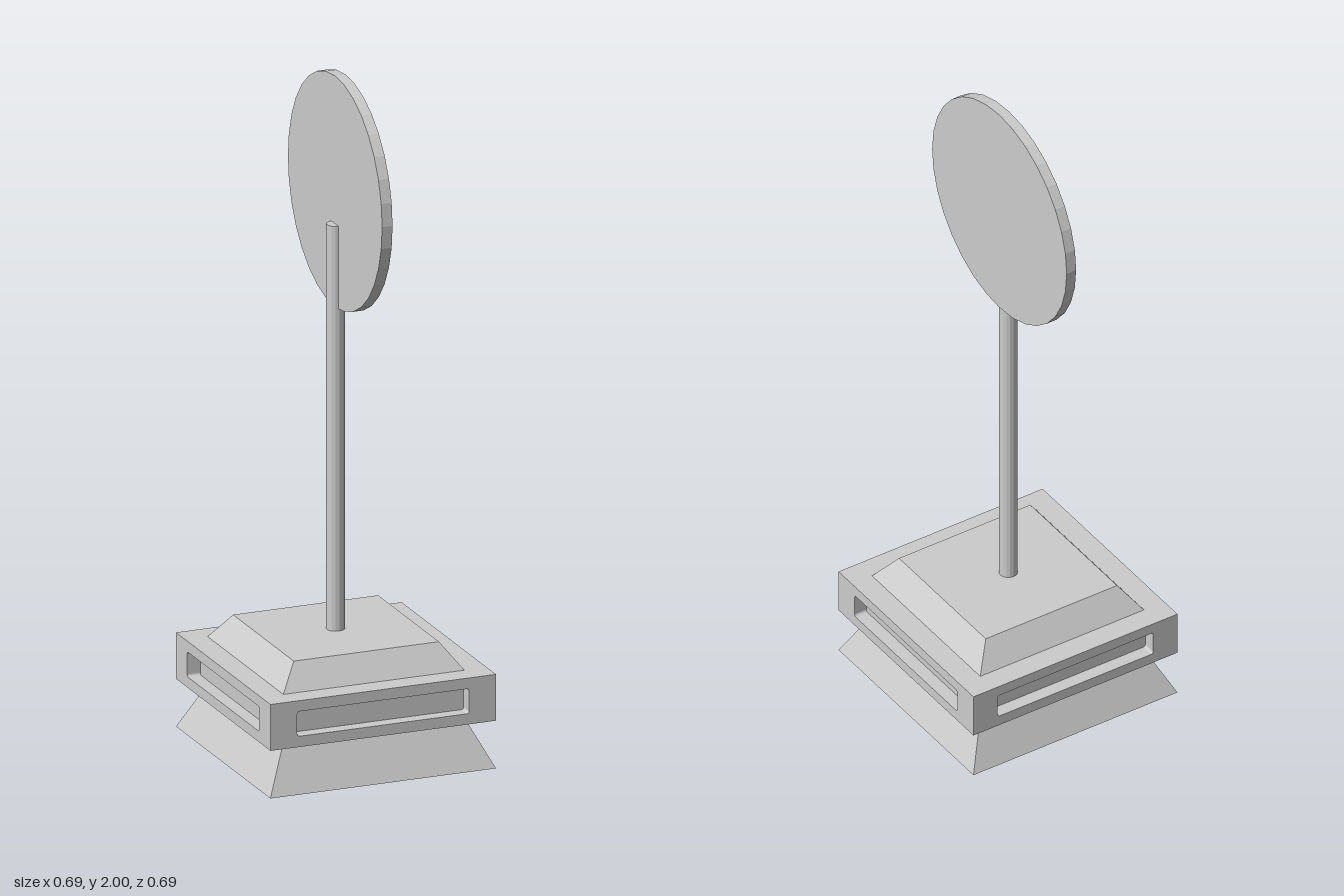
import * as THREE from 'three';

const material = new THREE.MeshStandardMaterial({ color: 0xcccccc, flatShading: true });

function addMesh(parent, name, geometry, x = 0, y = 0, z = 0) {
  const mesh = new THREE.Mesh(geometry, material);
  mesh.name = name;
  mesh.position.set(x, y, z);
  parent.add(mesh);
  return mesh;
}

// Square block with sloping sides, standing on y = 0
function taperedBlock(halfBottom, halfTop, height) {
  return new THREE.CylinderGeometry(halfTop * Math.SQRT2, halfBottom * Math.SQRT2, height, 4)
    .rotateY(Math.PI / 4)
    .translate(0, height / 2, 0);
}

// Draws a rounded rectangle centred on the origin
function roundedSlot(halfW, halfH, r) {
  const p = new THREE.Path();
  p.absarc(halfW - r, halfH - r, r, 0, Math.PI / 2);
  p.absarc(-halfW + r, halfH - r, r, Math.PI / 2, Math.PI);
  p.absarc(-halfW + r, -halfH + r, r, Math.PI, Math.PI * 1.5);
  p.absarc(halfW - r, -halfH + r, r, Math.PI * 1.5, Math.PI * 2);
  p.closePath();
  return p;
}

// Wall panel with a slot cut through it
function slottedPanel(halfW, halfH, depth) {
  const shape = new THREE.Shape([
    new THREE.Vector2(-halfW, -halfH), new THREE.Vector2(halfW, -halfH),
    new THREE.Vector2(halfW, halfH), new THREE.Vector2(-halfW, halfH),
  ]);
  shape.holes.push(roundedSlot(0.263, 0.037, 0.008));
  return new THREE.ExtrudeGeometry(shape, { depth, bevelEnabled: false, curveSegments: 4 });
}

export function createModel() {
  const model = new THREE.Group();
  model.name = 'discOnStand';

  // Stepped base
  const base = new THREE.Group();
  base.name = 'base';
  model.add(base);
  const half = 0.345, slotDepth = 0.04, core = half - slotDepth;
  addMesh(base, 'foot', taperedBlock(half, 0.275, 0.142));
  addMesh(base, 'middleCore', new THREE.BoxGeometry(core * 2, 0.138, core * 2), 0, 0.211, 0);
  addMesh(base, 'topPlinth', taperedBlock(0.277, 0.222, 0.075), 0, 0.28, 0);

  // Four recessed walls around the middle block
  for (let i = 0; i < 4; i++) {
    const side = new THREE.Group();
    side.name = 'slottedSide' + (i + 1);
    side.rotation.y = i * Math.PI / 2;
    base.add(side);
    addMesh(side, 'slottedPanel', slottedPanel(i % 2 ? core : half, 0.069, slotDepth), 0, 0.211, core);
  }

  // Pole rising behind the disc
  const poleBottom = 0.35, poleTop = 1.56;
  addMesh(model, 'pole', new THREE.CylinderGeometry(0.027, 0.027, poleTop - poleBottom, 16),
    -0.001, (poleTop + poleBottom) / 2, 0);

  // Round disc facing sideways
  addMesh(model, 'disc', new THREE.CylinderGeometry(0.344, 0.344, 0.032, 32).rotateZ(Math.PI / 2),
    0.013, 1.656, 0);

  return model;
}
